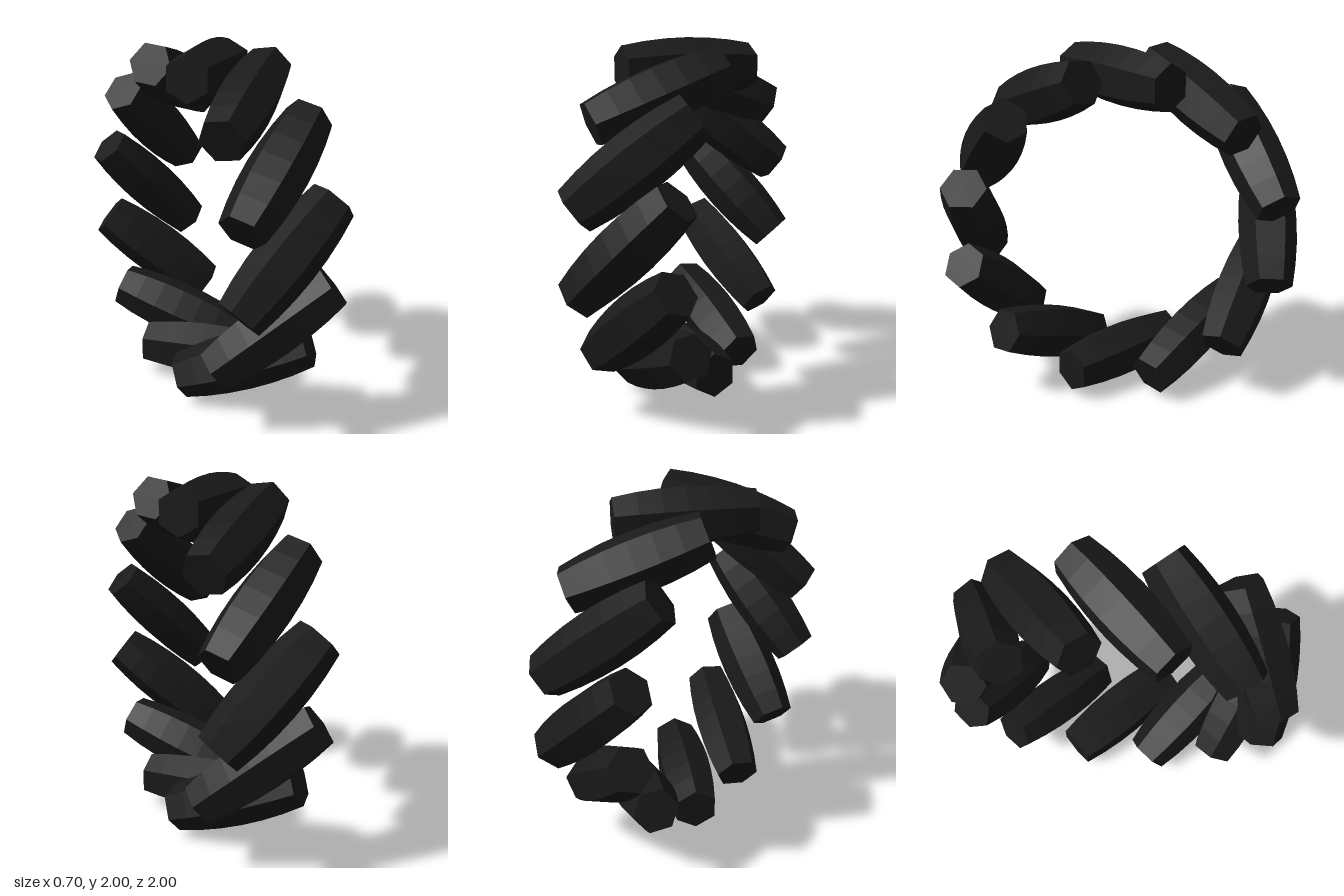
import * as THREE from 'three';

const COUNT = 12;         // beads around the ring
const RING = 0.835;       // ring radius to the bead centres
const LENGTH = 0.765;     // bead length
const MID = 0.165;        // bead radius at its middle
const END = 0.128;        // bead radius at its ends

// Six-sided bar that swells gently towards the middle
function beadGeometry() {
  const geo = new THREE.CylinderGeometry(1, 1, LENGTH, 6, 6);
  const p = geo.attributes.position;
  for (let i = 0; i < p.count; i++) {
    const t = p.getY(i) / (LENGTH / 2);
    const r = MID - (MID - END) * t * t;
    p.setX(i, p.getX(i) * r);
    p.setZ(i, p.getZ(i) * r);
  }
  geo.computeVertexNormals();
  return geo;
}

export function createModel() {
  const model = new THREE.Group();
  model.name = 'beadRing';
  const material = new THREE.MeshStandardMaterial({ color: 0x1a1a1a, flatShading: true });
  const geo = beadGeometry();

  // Beads stand around the x axis, each leaning 45 degrees to form a twist
  for (let i = 0; i < COUNT; i++) {
    const spoke = new THREE.Group();
    spoke.name = `spoke${i + 1}`;
    spoke.position.y = 1;
    spoke.rotation.x = (-i * 2 * Math.PI) / COUNT;
    const bead = new THREE.Mesh(geo, material);
    bead.name = `bead${i + 1}`;
    bead.position.z = RING;
    bead.rotation.z = -Math.PI / 4;
    spoke.add(bead);
    model.add(spoke);
  }
  return model;
}
